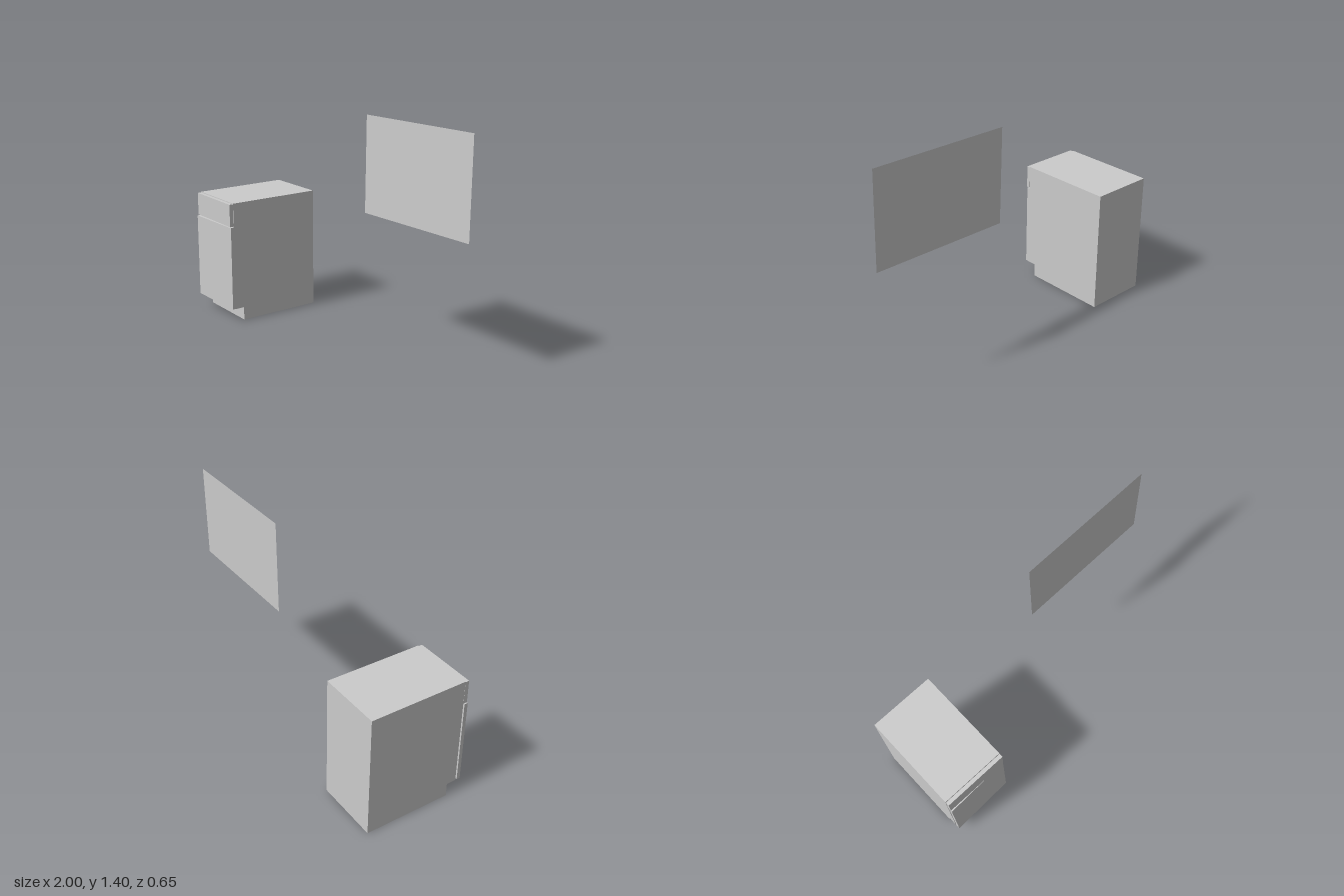
import * as THREE from 'three';

const material = new THREE.MeshStandardMaterial({ color: 0xcccccc });
const sheetMaterial = new THREE.MeshStandardMaterial({ color: 0xcccccc, side: THREE.DoubleSide });

// Box given by its lower and upper bounds on each axis
function box(name, [x0, x1], [y0, y1], [z0, z1]) {
  const mesh = new THREE.Mesh(new THREE.BoxGeometry(x1 - x0, y1 - y0, z1 - z0), material);
  mesh.name = name;
  mesh.position.set((x0 + x1) / 2, (y0 + y1) / 2, (z0 + z1) / 2);
  return mesh;
}

export function createModel() {
  const model = new THREE.Group();
  model.name = 'cabinetAndWallPanel';

  const left = -1, right = -0.59, back = -0.325;
  const cabinet = new THREE.Group();
  cabinet.name = 'cabinet';
  model.add(cabinet);

  // Body over a plinth set back for the toe space
  cabinet.add(box('plinth', [left, right], [0, 0.086], [back, 0.23]));
  cabinet.add(box('carcass', [left, right], [0.086, 0.79], [back, 0.292]));

  // Drawer front
  cabinet.add(box('drawerFront', [left + 0.001, right - 0.001], [0.64, 0.786], [0.294, 0.318]));

  // Door hinged on the +x edge, standing very slightly open
  const hinge = new THREE.Group();
  hinge.name = 'doorHinge';
  hinge.position.set(right, 0, 0.29);
  hinge.rotation.y = 0.03;
  hinge.add(box('door', [left - right, 0], [0.087, 0.633], [0, 0.023]));
  cabinet.add(hinge);

  // Thin panel hanging a little askew
  const panel = new THREE.Mesh(new THREE.PlaneGeometry(0.872, 0.59), sheetMaterial);
  panel.name = 'wallPanel';
  panel.position.set(0.559, 1.104, -0.206);
  panel.rotation.set(-0.017, 0.008, 0.01);
  model.add(panel);

  return model;
}
